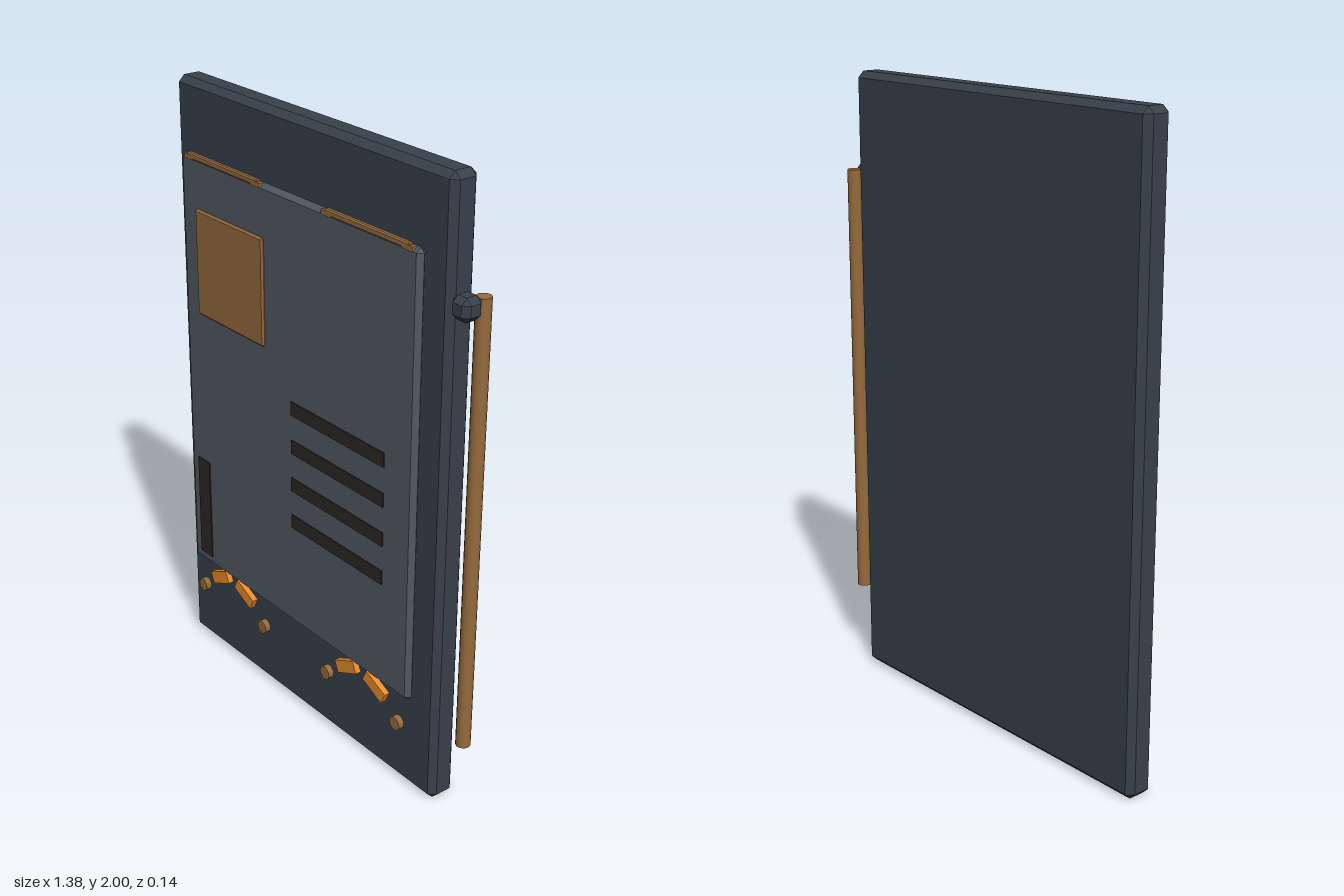
import * as THREE from 'three';
import { ConvexGeometry } from 'three/addons/geometries/ConvexGeometry.js';

const mat = (color) => new THREE.MeshStandardMaterial({ color });

// Box with every edge cut by a single 45 degree chamfer
function chamferBox(w, h, d, c) {
  const points = [];
  for (const sx of [-1, 1]) for (const sy of [-1, 1]) for (const sz of [-1, 1]) {
    const x = w / 2, y = h / 2, z = d / 2;
    points.push(
      new THREE.Vector3(sx * x, sy * (y - c), sz * (z - c)),
      new THREE.Vector3(sx * (x - c), sy * y, sz * (z - c)),
      new THREE.Vector3(sx * (x - c), sy * (y - c), sz * z)
    );
  }
  return new ConvexGeometry(points);
}

export function createModel() {
  const group = new THREE.Group();
  const slate = mat(0x38414b), grey = mat(0x525a63), dark = mat(0x2c2825);
  const bronze = mat(0x966b3d), orange = mat(0xe88b2a);

  const add = (name, geometry, material, x, y, z) => {
    const mesh = new THREE.Mesh(geometry, material);
    mesh.name = name;
    mesh.position.set(x, y, z);
    group.add(mesh);
    return mesh;
  };

  // Back board and the thinner panel floating in front of it
  add('backBoard', chamferBox(1.273, 2, 0.094, 0.02), slate, -0.057, 1, -0.025);
  add('frontPanel', chamferBox(1.122, 1.44, 0.032, 0.015), grey, -0.058, 1.065, 0.048);

  // Square plate
  add('squarePlate', chamferBox(0.348, 0.35, 0.016, 0.006), bronze, -0.364, 1.445, 0.064);

  // Slots
  const slot = new THREE.BoxGeometry(0.436, 0.046, 0.012);
  for (let i = 0; i < 4; i++) add('slot', slot, dark, 0.158, 1.114 - i * 0.13, 0.062);
  add('verticalSlot', new THREE.BoxGeometry(0.064, 0.36, 0.012), dark, -0.542, 0.563, 0.062);

  // Two matching sets: top strip with end tabs, angled tabs and studs
  const strip = chamferBox(0.36, 0.02, 0.018, 0.004);
  const endTab = new THREE.BoxGeometry(0.045, 0.014, 0.018);
  const tab = new THREE.BoxGeometry(0.097, 0.042, 0.02);
  const stud = new THREE.CylinderGeometry(0.023, 0.023, 0.02, 12).rotateX(Math.PI / 2);
  for (const cx of [-0.398, 0.281]) {
    add('topStrip', strip, bronze, cx, 1.781, 0.058);
    for (const side of [-1, 1]) {
      add('stripEnd', endTab, bronze, cx + side * 0.172, 1.777, 0.058);
      add('stud', stud, bronze, cx + side * 0.171, 0.245, 0.06);
      const angled = add('angledTab', tab, orange, cx + 0.002 + side * 0.069, 0.324, 0.06);
      angled.rotation.z = -side * THREE.MathUtils.degToRad(25);
    }
  }

  // Side rod and its knob
  add('sideRod', new THREE.CylinderGeometry(0.023, 0.023, 1.435, 16), bronze, 0.656, 0.963, -0.026);
  add('rodKnob', chamferBox(0.07, 0.07, 0.07, 0.018), slate, 0.656, 1.664, 0.034);

  return group;
}
